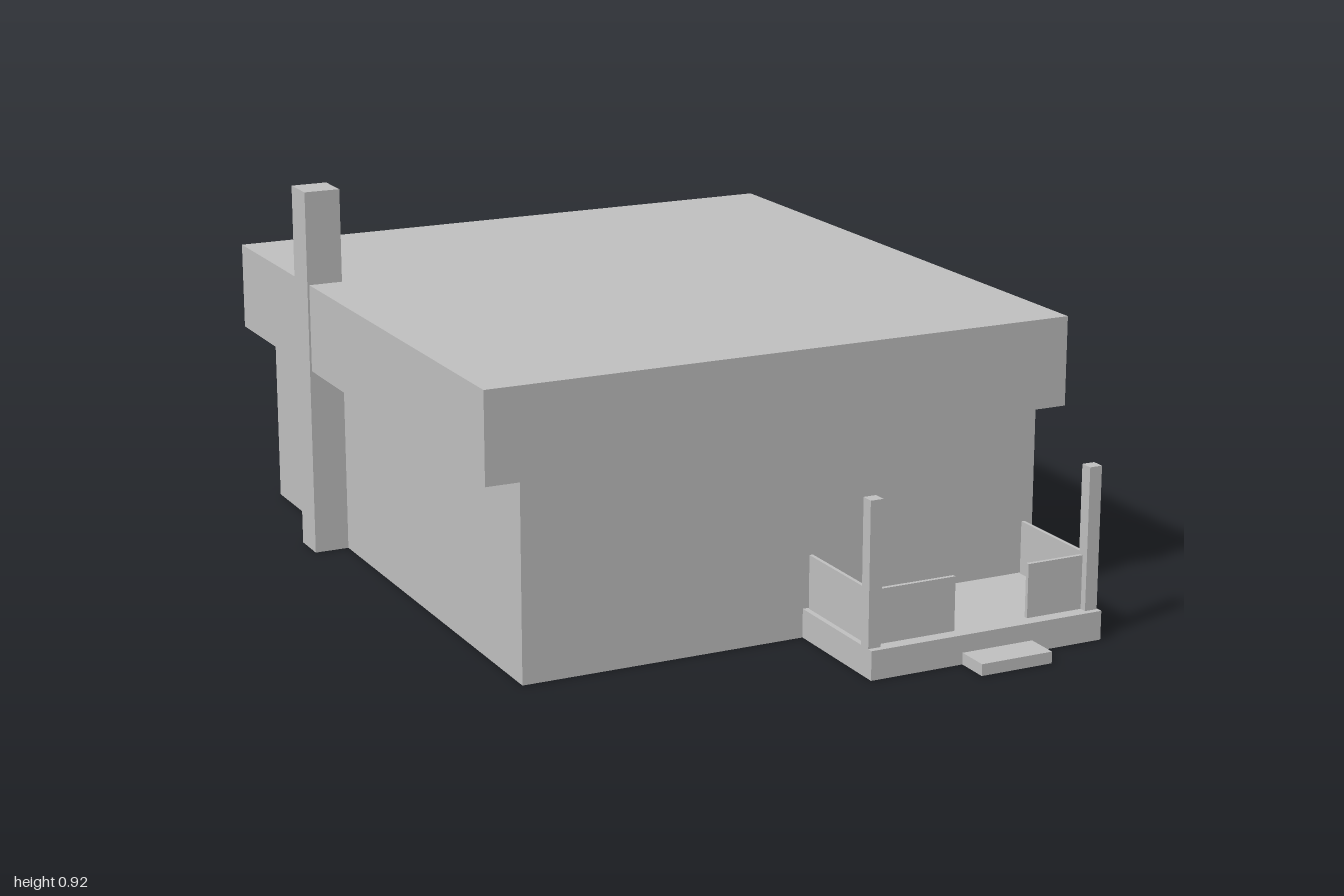
import * as THREE from 'three';

export function createModel() {
  const model = new THREE.Group();
  model.name = 'house';
  const grey = new THREE.MeshStandardMaterial({ color: 0xc0c0c0 });
  grey.name = 'plain grey';

  // Box given by its extents on each axis
  function block(name, [x0, x1], [y0, y1], [z0, z1], parent = model) {
    const mesh = new THREE.Mesh(new THREE.BoxGeometry(x1 - x0, y1 - y0, z1 - z0), grey);
    mesh.position.set((x0 + x1) / 2, (y0 + y1) / 2, (z0 + z1) / 2);
    mesh.name = name;
    parent.add(mesh);
  }

  // House: walls, overhanging flat roof, chimney against the right wall
  block('walls', [-0.663, 0.663], [0, 0.47], [-1, 0.6]);
  block('roof', [-0.745, 0.745], [0.47, 0.688], [-1, 0.6]);
  block('chimney', [-0.75, -0.66], [0, 0.92], [-0.583, -0.49]);

  // Porch: deck, step, posts and thin railing panels
  const porch = new THREE.Group();
  porch.name = 'porch';
  model.add(porch);
  block('deck', [0.043, 0.652], [0, 0.07], [0.6, 0.917], porch);
  block('step', [0.28, 0.465], [0, 0.028], [0.917, 1], porch);
  block('rightPost', [0.043, 0.075], [0.07, 0.415], [0.87, 0.902], porch);
  block('leftPost', [0.617, 0.649], [0.07, 0.415], [0.87, 0.902], porch);
  block('frontRailRight', [0.075, 0.277], [0.07, 0.2], [0.874, 0.884], porch);
  block('frontRailLeft', [0.471, 0.617], [0.07, 0.2], [0.874, 0.884], porch);
  block('sideRailRight', [0.056, 0.065], [0.07, 0.2], [0.605, 0.87], porch);
  block('sideRailLeft', [0.63, 0.639], [0.07, 0.2], [0.605, 0.87], porch);

  return model;
}
